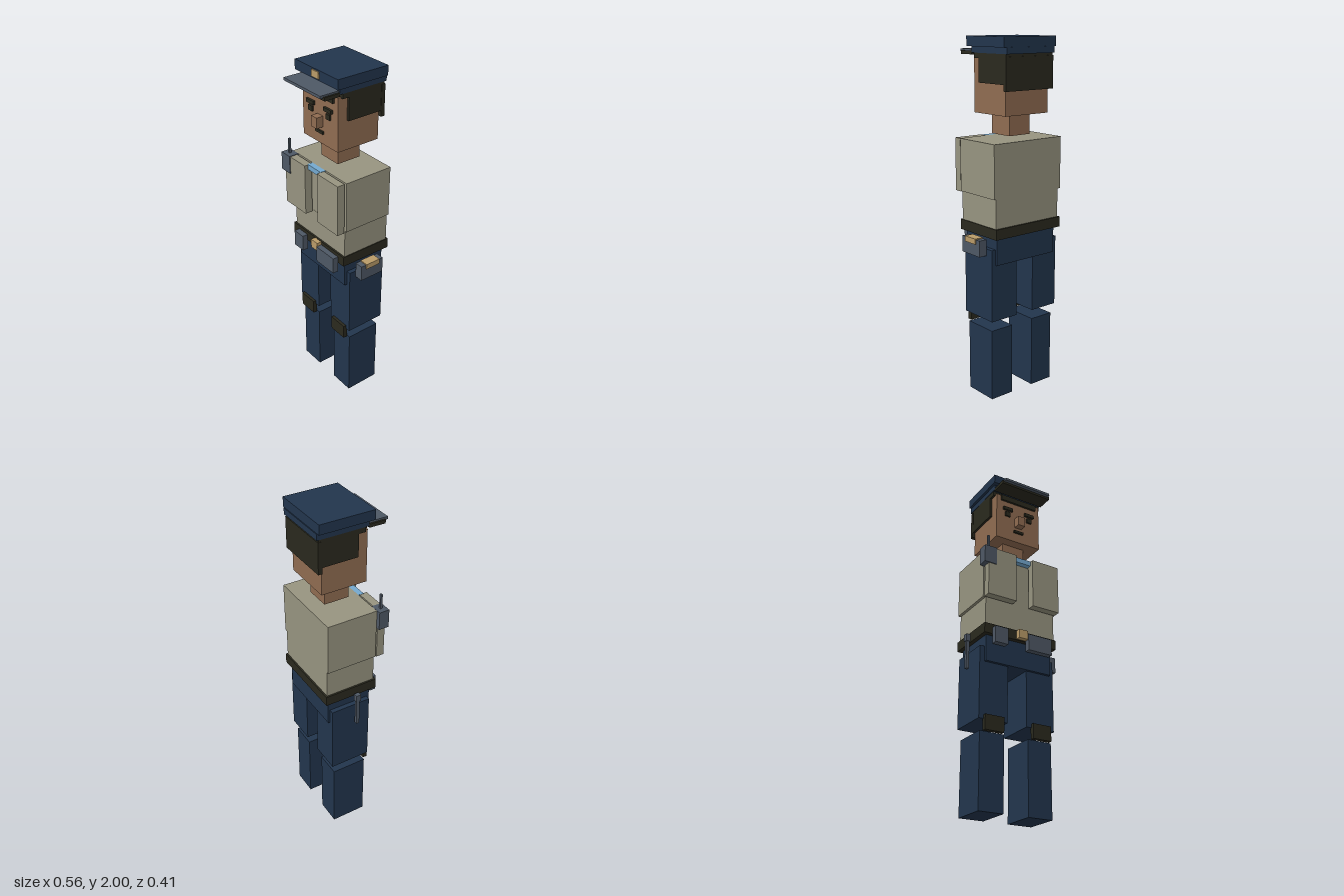
import * as THREE from 'three';

const mat = (name, color) => {
  const m = new THREE.MeshStandardMaterial({ color });
  m.name = name;
  return m;
};

export function createModel() {
  const root = new THREE.Group();
  root.name = 'officer';
  const navy = mat('navy cloth', 0x22354d);
  const khaki = mat('khaki cloth', 0x979480);
  const skin = mat('skin', 0x906c51);
  const dark = mat('dark leather and hair', 0x2a291e);
  const gray = mat('slate gear', 0x4e5865);
  const tan = mat('tan metal', 0xba9c69);
  const blue = mat('blue shirt', 0x74a9cf);

  const group = (name) => {
    const g = new THREE.Group();
    g.name = name;
    root.add(g);
    return g;
  };
  // Box from its lower and upper bounds on each axis
  const box = (parent, name, material, [x0, x1], [y0, y1], [z0, z1]) => {
    const mesh = new THREE.Mesh(new THREE.BoxGeometry(x1 - x0, y1 - y0, z1 - z0), material);
    mesh.position.set((x0 + x1) / 2, (y0 + y1) / 2, (z0 + z1) / 2);
    mesh.name = name;
    parent.add(mesh);
  };
  // Pair mirrored about the body's own centre line
  const CX = -0.0075;
  const pair = (parent, name, material, [a, b], y, z) => {
    box(parent, name + 'Left', material, [CX + a, CX + b], y, z);
    box(parent, name + 'Right', material, [CX - b, CX - a], y, z);
  };

  // Legs
  const legs = group('legs');
  pair(legs, 'shin', navy, [0.074, 0.22], [0, 0.413], [-0.145, 0.06]);
  pair(legs, 'kneePad', dark, [0.09, 0.204], [0.413, 0.497], [0.064, 0.09]);
  pair(legs, 'thigh', navy, [0.059, 0.233], [0.475, 0.885], [-0.163, 0.073]);
  box(legs, 'hips', navy, [-0.213, 0.2], [0.797, 0.95], [-0.174, 0.089]);

  // Torso with open vest fronts
  const torso = group('torso');
  box(torso, 'waist', khaki, [-0.227, 0.217], [1.005, 1.168], [-0.188, 0.104]);
  box(torso, 'chest', khaki, [-0.243, 0.228], [1.168, 1.46], [-0.19, 0.103]);
  box(torso, 'vestPanelRight', khaki, [-0.24, -0.06], [1.163, 1.458], [0.112, 0.157]);
  box(torso, 'vestPanelLeft', khaki, [0.047, 0.222], [1.163, 1.458], [0.112, 0.157]);
  box(torso, 'collar', blue, [-0.065, 0.05], [1.43, 1.46], [0.103, 0.135]);

  // Shoulder radio
  const radio = group('radio');
  box(radio, 'radioBody', gray, [-0.268, -0.193], [1.356, 1.461], [0.103, 0.162]);
  box(radio, 'antenna', gray, [-0.238, -0.226], [1.461, 1.546], [0.126, 0.138]);

  // Belt and gear
  const belt = group('belt');
  box(belt, 'beltBand', dark, [-0.237, 0.222], [0.948, 1.006], [-0.198, 0.115]);
  box(belt, 'buckle', tan, [-0.035, 0.022], [0.953, 1.004], [0.115, 0.143]);
  box(belt, 'pouchSmall', gray, [-0.188, -0.109], [0.89, 0.985], [0.113, 0.148]);
  box(belt, 'pouchLarge', gray, [0.022, 0.173], [0.89, 0.985], [0.113, 0.148]);
  box(belt, 'holster', gray, [0.226, 0.275], [0.847, 0.938], [-0.119, 0.032]);
  box(belt, 'holsterClasp', tan, [0.228, 0.281], [0.913, 0.944], [-0.09, 0]);
  box(belt, 'baton', gray, [-0.277, -0.26], [0.775, 0.94], [-0.031, -0.012]);
  box(belt, 'batonGrip', gray, [-0.282, -0.256], [0.935, 0.977], [-0.035, -0.008]);

  // Head and face
  const head = group('head');
  box(head, 'neck', skin, [-0.08, 0.063], [1.48, 1.597], [-0.114, 0.032]);
  box(head, 'skull', skin, [-0.155, 0.138], [1.595, 1.89], [-0.173, 0.09]);
  box(head, 'nose', skin, [-0.031, 0.015], [1.692, 1.752], [0.088, 0.131]);
  box(head, 'mouth', dark, [-0.039, 0.024], [1.654, 1.669], [0.088, 0.1]);
  pair(head, 'eye', dark, [0.058, 0.09], [1.752, 1.781], [0.088, 0.1]);
  pair(head, 'brow', dark, [0.042, 0.104], [1.792, 1.812], [0.088, 0.103]);

  // Hair
  const hair = group('hair');
  box(hair, 'hairCrown', dark, [-0.168, 0.153], [1.885, 1.915], [-0.193, 0.072]);
  box(hair, 'hairSides', dark, [-0.168, 0.153], [1.758, 1.9], [-0.192, 0.032]);
  box(hair, 'hairNape', dark, [-0.17, 0.155], [1.725, 1.9], [-0.198, -0.175]);
  box(hair, 'fringe', dark, [-0.128, 0.11], [1.854, 1.888], [0.085, 0.102]);

  // Peaked cap
  const cap = group('cap');
  box(cap, 'capBand', navy, [-0.17, 0.155], [1.913, 1.947], [-0.205, 0.09]);
  box(cap, 'capTop', navy, [-0.185, 0.17], [1.946, 2], [-0.2, 0.115]);
  box(cap, 'brimUnderside', dark, [-0.17, 0.155], [1.903, 1.922], [0.09, 0.184]);
  box(cap, 'brim', gray, [-0.16, 0.145], [1.916, 1.931], [0.09, 0.203]);
  box(cap, 'capBadge', tan, [-0.036, 0.022], [1.956, 1.993], [0.115, 0.122]);

  return root;
}
